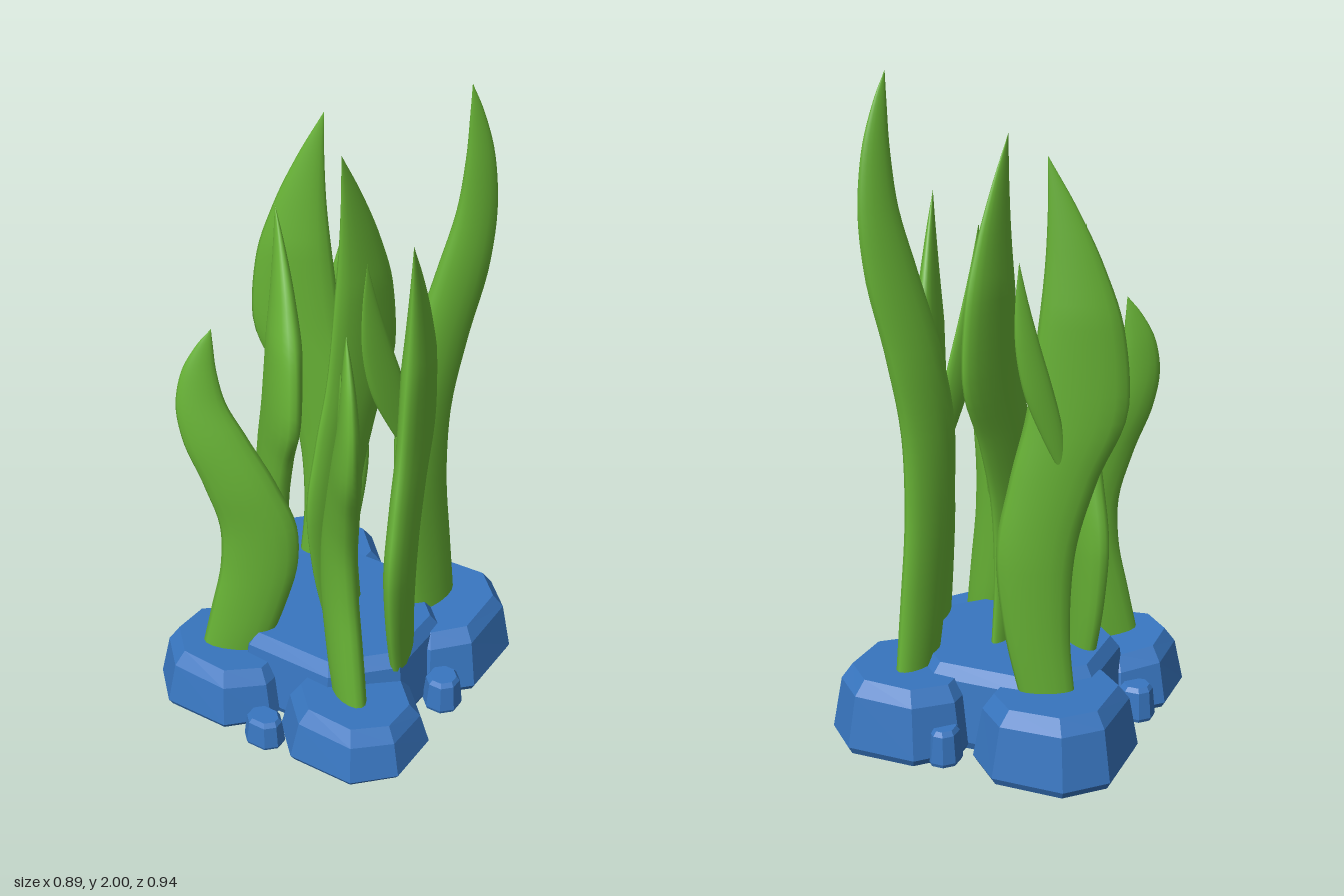
import * as THREE from 'three';

// Skin closed rings (listed bottom to top, counter-clockwise from above); flat ones get end caps.
function loft(rings, flat) {
  const n = rings[0].length;
  const pos = [];
  const idx = [];
  for (const ring of rings) for (const p of ring) pos.push(p.x, p.y, p.z);
  for (let i = 0; i < rings.length - 1; i++) {
    for (let j = 0; j < n; j++) {
      const a = i * n + j, b = i * n + (j + 1) % n;
      idx.push(a, b, a + n, b, b + n, a + n);
    }
  }
  const top = (rings.length - 1) * n;
  for (let j = 1; j < n - 1; j++) {
    if (flat) idx.push(0, j + 1, j, top, top + j, top + j + 1);
  }
  let geo = new THREE.BufferGeometry();
  geo.setAttribute('position', new THREE.Float32BufferAttribute(pos, 3));
  geo.setIndex(idx);
  if (flat) geo = geo.toNonIndexed();
  geo.computeVertexNormals();
  return geo;
}

// Eight-sided block with leaning walls, a bevelled rim and a slightly tilted top.
function rockGeometry([x0, x1, z0, z1], height, cut, bevel, tiltX = 0, tiltZ = 0) {
  const cx = (x0 + x1) / 2, cz = (z0 + z1) / 2;
  const levels = [
    [0, bevel * 0.25], [height * 0.1, 0], [height - bevel, bevel * 0.55], [height, bevel * 1.2],
  ];
  const rings = levels.map(([y, inset]) => {
    const hx = (x1 - x0) / 2 - inset, hz = (z1 - z0) / 2 - inset;
    const c = cut - inset * 0.4;
    const corners = [
      [hx, hz - c], [hx, -hz + c], [hx - c, -hz], [-hx + c, -hz],
      [-hx, -hz + c], [-hx, hz - c], [-hx + c, hz], [hx - c, hz],
    ];
    return corners.map(([x, z]) =>
      new THREE.Vector3(cx + x, y + (tiltX * x + tiltZ * z) * (y / height), cz + z));
  });
  return loft(rings, true);
}

// Outlines: [lower edge, upper edge, height fraction] measured along the ground line.
const TAPERED = [
  [0.2, 0.62, 0], [0.06, 0.57, 0.15], [0, 0.6, 0.29], [0.1, 0.76, 0.43], [0.24, 0.99, 0.57],
  [0.31, 0.95, 0.7], [0.36, 0.8, 0.81], [0.38, 0.6, 0.91], [0.38, 0.38, 1],
];
const HOOKED = [
  [0.3, 0.86, 0], [0.12, 0.75, 0.16], [0.01, 0.66, 0.3], [0.01, 0.65, 0.41], [0.17, 0.77, 0.55],
  [0.42, 0.95, 0.69], [0.61, 1, 0.8], [0.67, 0.95, 0.88], [0.69, 0.83, 0.95], [0.7, 0.7, 1],
];
const LEAFLET = [
  [0, 0.1, 0], [0.08, 0.5, 0.2], [0.3, 0.85, 0.42], [0.55, 1, 0.63], [0.76, 1, 0.82], [0.93, 0.93, 1],
];

// from / to are the ground points under the two bends; root gives another ground line
// for the foot, and crown is an [x, z] drift of the tip.
function bladeGeometry({ outline, from, to, root = [from, to], crown = [0, 0], y0, y1, tip, thick = 0.09 }) {
  const end = outline[outline.length - 1][0];
  const shift = (tip ?? end) - end;
  const curve = new THREE.CatmullRomCurve3(outline.map(([a, b, t]) => {
    const s = shift * THREE.MathUtils.smoothstep(t, 0.62, 1.02);
    return new THREE.Vector3(a + s, b + s, t);
  }));
  const ground = ([x, z]) => new THREE.Vector3(x, 0, z);
  const rings = [];
  const STEPS = 44, SIDES = 16;
  for (let i = 0; i <= STEPS; i++) {
    const p = curve.getPoint(i / STEPS);
    const blend = THREE.MathUtils.smoothstep(p.z, 0.2, 0.72);
    const start = ground(root[0]).lerp(ground(from), blend);
    const along = ground(root[1]).lerp(ground(to), blend).sub(start);
    const side = new THREE.Vector3(0, 1, 0).cross(along).normalize();
    start.addScaledVector(ground(crown), THREE.MathUtils.smoothstep(p.z, 0.5, 1));
    const mid = (p.x + p.y) / 2, half = Math.max(0.0005, (p.y - p.x) / 2);
    const depth = thick / 2 * Math.min(1, half / 0.3);
    const ring = [];
    for (let j = 0; j < SIDES; j++) {
      const a = j / SIDES * Math.PI * 2;
      const v = start.clone()
        .addScaledVector(along, mid + half * Math.cos(a))
        .addScaledVector(side, depth * Math.sin(a));
      v.y = y0 + (y1 - y0) * p.z;
      ring.push(v);
    }
    rings.push(ring);
  }
  return loft(rings, false);
}

export function createModel() {
  const model = new THREE.Group();
  const blue = new THREE.MeshStandardMaterial({ color: 0x3876c0 });
  blue.name = 'rock blue';
  const green = new THREE.MeshStandardMaterial({ color: 0x67b235 });
  green.name = 'weed green';

  const add = (name, geometry, material) => {
    const mesh = new THREE.Mesh(geometry, material);
    mesh.name = name;
    model.add(mesh);
  };

  // Base rocks: bounds [x0, x1, z0, z1], height, corner cut, bevel, tilts
  const rocks = {
    centreRock: [[-0.33, 0.33, -0.31, 0.3], 0.25, 0.17, 0.04, 0, 0],
    backLeftRock: [[0.02, 0.445, -0.47, -0.02], 0.22, 0.105, 0.045, 0.03, -0.04],
    backRightRock: [[-0.45, -0.02, -0.47, -0.01], 0.22, 0.105, 0.045, -0.03, -0.04],
    frontLeftRock: [[0.02, 0.445, 0.06, 0.455], 0.172, 0.105, 0.045, -0.05, 0.05],
    frontRightRock: [[-0.445, -0.02, 0.06, 0.455], 0.185, 0.105, 0.045, -0.07, 0.06],
    frontPebble: [[-0.06, 0.065, 0.365, 0.465], 0.095, 0.03, 0.014],
    leftPebble: [[0.325, 0.44, -0.085, 0.03], 0.11, 0.032, 0.014],
    rightPebble: [[-0.43, -0.32, 0.04, 0.14], 0.11, 0.028, 0.014],
    backPebble: [[0.015, 0.11, -0.44, -0.33], 0.11, 0.028, 0.014],
  };
  for (const [name, args] of Object.entries(rocks)) add(name, rockGeometry(...args), blue);

  // Weed blades, and the leaflets that fork off three of them
  const blades = {
    tallBlade: {
      outline: HOOKED, from: [0.15, -0.07], to: [0.33, -0.335],
      root: [[0.18, -0.055], [0.25, -0.375]], crown: [0.01, 0.035], y0: 0.17, y1: 2, tip: 0.72, thick: 0.085,
    },
    frontLeftBlade: {
      outline: HOOKED, from: [0.08, 0.14], to: [0.325, 0.425],
      root: [[0.08, 0.19], [0.32, 0.32]], y0: 0.14, y1: 1.47, tip: 0.64,
    },
    frontRightBlade: {
      outline: HOOKED, from: [-0.04, 0.15], to: [-0.345, 0.35], crown: [0, -0.05], y0: 0.15, y1: 1.3, tip: 0.74,
    },
    centreBlade: { outline: TAPERED, from: [-0.01, 0.145], to: [0.06, -0.235], y0: 0.22, y1: 1.81, thick: 0.07 },
    backRightBlade: { outline: TAPERED, from: [-0.07, -0.305], to: [-0.42, -0.165], y0: 0.17, y1: 1.8 },
    leftBlade: { outline: TAPERED, from: [0.31, 0.2], to: [0.225, -0.175], y0: 0.17, y1: 1.62, tip: 0.43, thick: 0.08 },
    rightBlade: {
      outline: TAPERED, from: [-0.315, -0.05], to: [-0.04, 0.16], crown: [0.005, -0.05], y0: 0.2, y1: 1.58, tip: 0.25,
    },
    backRightLeaflet: { outline: LEAFLET, from: [-0.27, -0.255], to: [-0.155, -0.365], y0: 0.9, y1: 1.53, thick: 0.04 },
    backLeftLeaflet: { outline: LEAFLET, from: [0.2, -0.15], to: [0.125, 0.06], y0: 0.8, y1: 1.53, thick: 0.035 },
    frontLeftLeaflet: { outline: LEAFLET, from: [0.18, 0.21], to: [0.05, 0.06], y0: 0.6, y1: 1.18, thick: 0.035 },
  };
  for (const [name, spec] of Object.entries(blades)) add(name, bladeGeometry(spec), green);

  return model;
}
